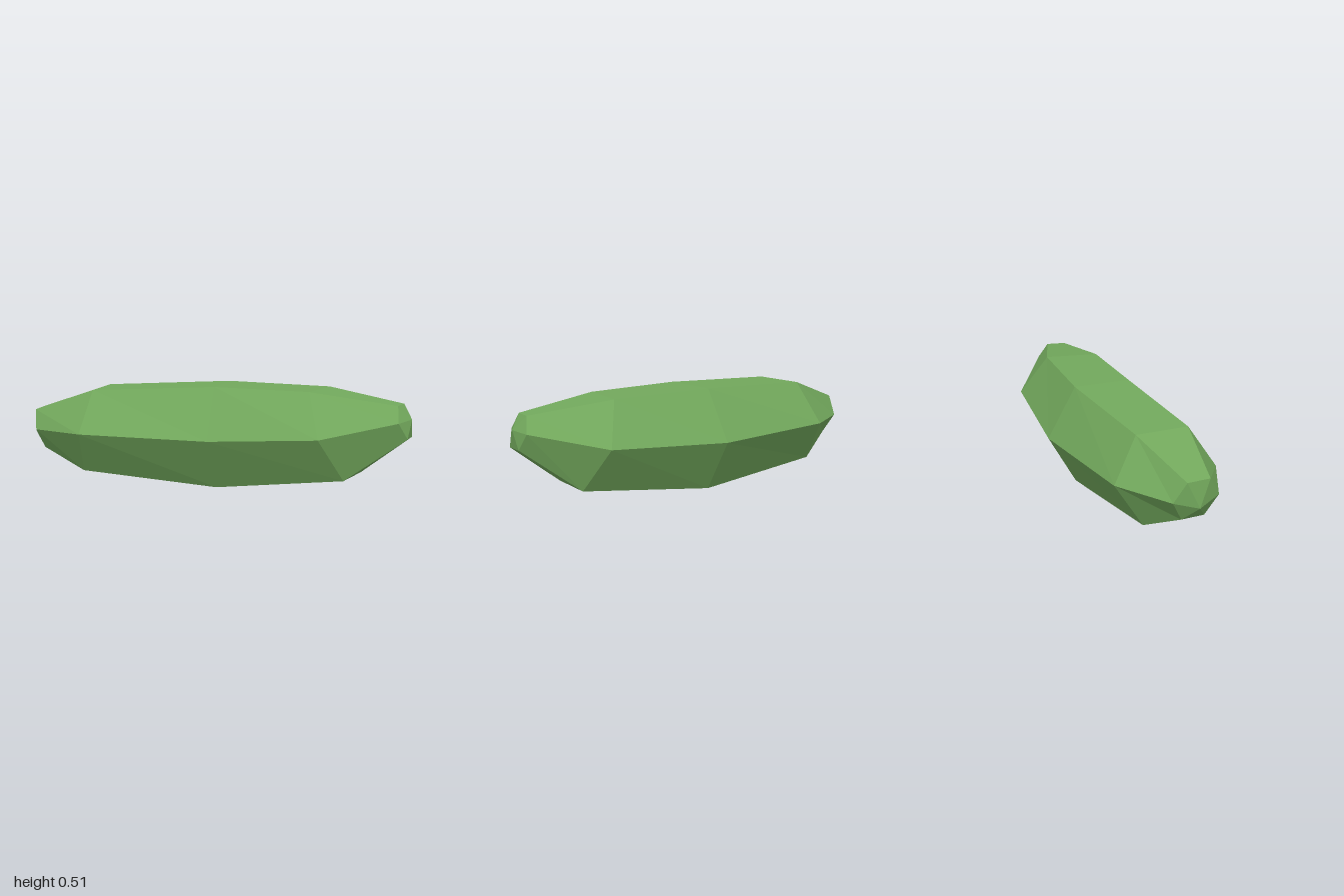
import * as THREE from 'three';

// Six corners per ring, [x, y, z]: top front, top back, back, bottom back, bottom front, front
const RINGS = [
  [[-0.98, 0.36, 0.07], [-0.985, 0.36, -0.05], [-0.965, 0.262, -0.11], [-0.935, 0.16, -0.05], [-0.93, 0.16, 0.07], [-0.955, 0.262, 0.13]],
  [[-0.635, 0.48, 0.135], [-0.635, 0.48, -0.138], [-0.685, 0.267, -0.27], [-0.72, 0.057, -0.138], [-0.69, 0.057, 0.135], [-0.665, 0.267, 0.275]],
  [[0.01, 0.513, 0.13], [0.02, 0.513, -0.165], [0.02, 0.257, -0.313], [0.02, 0, -0.165], [0.02, 0, 0.13], [0.01, 0.257, 0.28]],
  [[0.5, 0.506, 0.165], [0.56, 0.506, -0.1], [0.665, 0.29, -0.217], [0.73, 0.075, -0.07], [0.68, 0.075, 0.197], [0.57, 0.29, 0.313]],
  [[0.935, 0.45, 0.155], [0.955, 0.45, 0.06], [0.985, 0.37, 0.015], [0.997, 0.288, 0.068], [0.985, 0.288, 0.163], [0.945, 0.37, 0.207]],
];
const LEFT_TIP = [1, 0.38, 0.115];
const RIGHT_TIP = [-1, 0.23, 0.01];

// Flat-shaded mesh from a list of triangle corners
function facetedMesh(name, corners, material) {
  const geometry = new THREE.BufferGeometry();
  geometry.setAttribute('position', new THREE.Float32BufferAttribute(corners.flat(), 3));
  geometry.computeVertexNormals();
  const mesh = new THREE.Mesh(geometry, material);
  mesh.name = name;
  return mesh;
}

export function createModel() {
  const group = new THREE.Group();
  group.name = 'cucumber';
  const skin = new THREE.MeshStandardMaterial({ color: 0x72a85c });
  skin.name = 'cucumber green';

  const body = [], leftEnd = [], rightEnd = [];
  const first = RINGS[0], last = RINGS[RINGS.length - 1];
  for (let j = 0; j < 6; j++) {
    const k = (j + 1) % 6;
    // Long side panels
    for (let i = 0; i < RINGS.length - 1; i++) {
      const a = RINGS[i][j], b = RINGS[i][k], c = RINGS[i + 1][j], d = RINGS[i + 1][k];
      body.push(a, c, b, b, c, d);
    }
    // End fans
    leftEnd.push(LEFT_TIP, last[k], last[j]);
    rightEnd.push(RIGHT_TIP, first[j], first[k]);
  }
  group.add(
    facetedMesh('body', body, skin),
    facetedMesh('leftEnd', leftEnd, skin),
    facetedMesh('rightEnd', rightEnd, skin),
  );
  return group;
}
